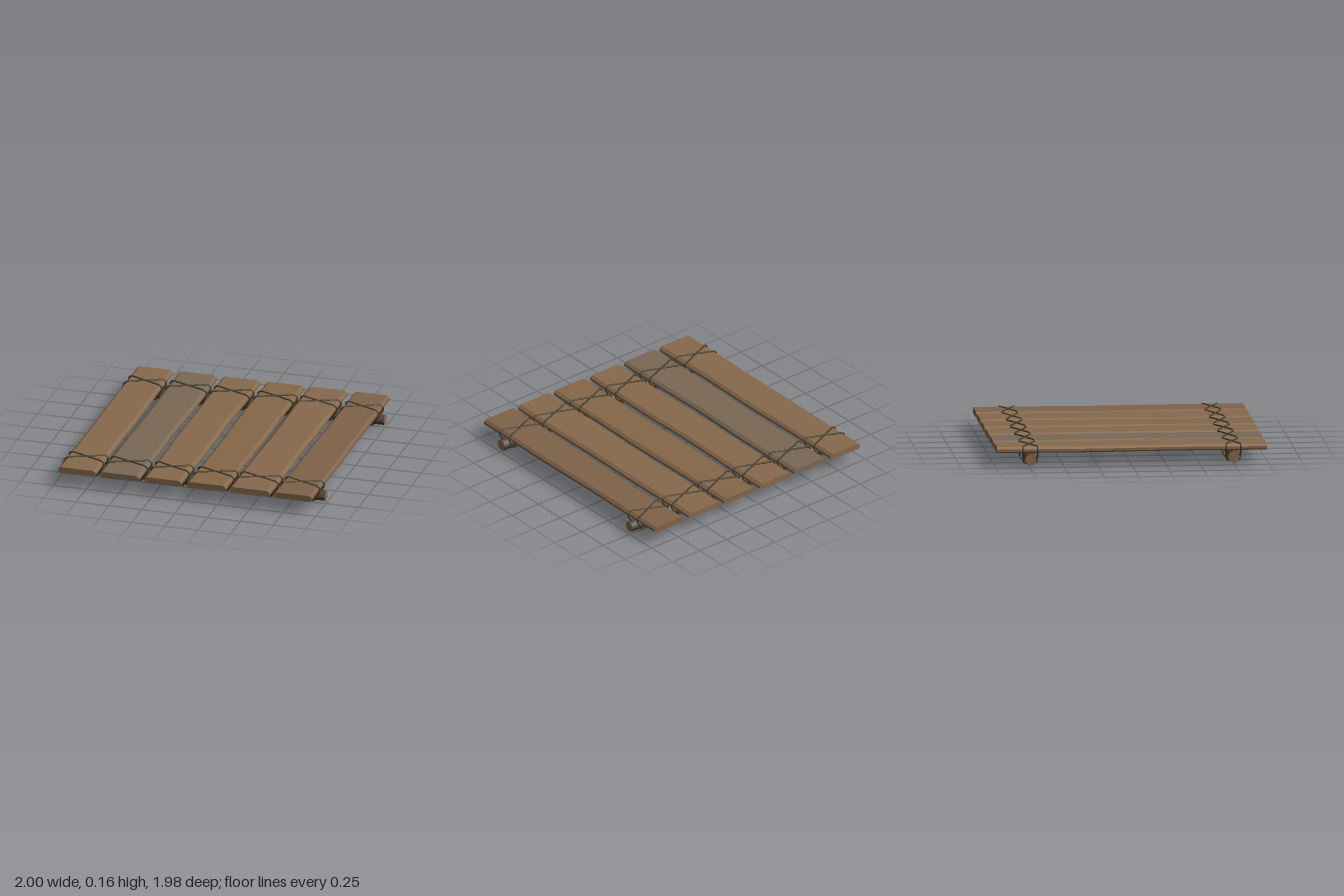
import * as THREE from 'three';
import { toCreasedNormals } from 'three/addons/utils/BufferGeometryUtils.js';

const mat = (color) => new THREE.MeshStandardMaterial({ color });
const barkMat = mat(0x4f4235), cutMat = mat(0x8a6b4e), ropeMat = mat(0x4a412f);

// Left and right edges of each plank: at the back end, then at the front end
const PLANKS = [
  { back: [-0.965, -0.69], front: [-0.965, -0.68], color: 0x87694c },
  { back: [-0.645, -0.35], front: [-0.65, -0.35], color: 0x7b6854 },
  { back: [-0.315, -0.025], front: [-0.31, -0.03], color: 0x87694c },
  { back: [0.02, 0.31], front: [0.015, 0.31], color: 0x846749 },
  { back: [0.345, 0.64], front: [0.34, 0.645], color: 0x87694c },
  { back: [0.69, 0.96], front: [0.675, 0.965], color: 0x80634a },
];
const LOG_Z = 0.743, LOG_Y = 0.062, HALF_LENGTH = 0.988;

// Edges of a plank at a given z, with a slight hewn wobble
function edgesAt(plank, index, z) {
  const t = (z + HALF_LENGTH) / (2 * HALF_LENGTH);
  return [0, 1].map((side) =>
    THREE.MathUtils.lerp(plank.back[side], plank.front[side], t)
    + 0.004 * Math.sin(z * 5 + index * 2.1 + side * 1.7) * Math.sin(Math.PI * t));
}

// Chamfered board, its width following the edges above
function makePlank(plank, index) {
  const section = new THREE.Shape([
    [-0.43, 0.105], [0.43, 0.105], [0.5, 0.116], [0.5, 0.134],
    [0.43, 0.15], [-0.43, 0.15], [-0.5, 0.134], [-0.5, 0.116],
  ].map(([x, y]) => new THREE.Vector2(x, y)));
  const geo = new THREE.ExtrudeGeometry(section, {
    depth: 2 * HALF_LENGTH, steps: 14, bevelEnabled: false,
  });
  geo.translate(0, 0, -HALF_LENGTH);
  const p = geo.attributes.position;
  for (let i = 0; i < p.count; i++) {
    const z = p.getZ(i);
    const [left, right] = edgesAt(plank, index, z);
    p.setX(i, (left + right) / 2 + p.getX(i) * (right - left));
    p.setY(i, p.getY(i) + 0.0015 * Math.sin(z * 4 + index));
  }
  const mesh = new THREE.Mesh(toCreasedNormals(geo, 0.35), mat(plank.color));
  mesh.name = `plank${index + 1}`;
  return mesh;
}

// Round cross log with pale cut ends
function makeLog(z, name) {
  const geo = new THREE.CylinderGeometry(0.043, 0.041, 2, 8, 10);
  const p = geo.attributes.position;
  for (let i = 0; i < p.count; i++) {
    const k = 1 + 0.03 * Math.sin(p.getY(i) * 7 + z);
    p.setX(i, p.getX(i) * k);
    p.setZ(i, p.getZ(i) * k);
  }
  geo.computeVertexNormals();
  geo.rotateZ(Math.PI / 2);
  const log = new THREE.Mesh(geo, [barkMat, cutMat, cutMat]);
  log.position.set(0, LOG_Y, z);
  log.name = name;
  return log;
}

// Rope loop: diagonal over the plank, down its edges and under the log
function makeRope(halfWidth, mirror) {
  const w = halfWidth;
  const half = [
    [w - 0.02, 0.153, 0.052], [w + 0.005, 0.136, 0.054], [w + 0.005, 0.112, 0.054],
    [w - 0.012, 0.088, 0.052], [w - 0.045, 0.034, 0.046], [0.02, 0.01, 0.008],
  ];
  // The second half climbs the opposite edge
  const other = half.map(([x, y, z]) => [-x, y, -z]).reverse();
  const points = [...half, ...other].map(([x, y, z]) => new THREE.Vector3(x, y, z * mirror));
  const path = new THREE.CatmullRomCurve3(points, true, 'catmullrom', 0.08);
  const rope = new THREE.Mesh(new THREE.TubeGeometry(path, 72, 0.0065, 6, true), ropeMat);
  rope.name = 'rope';
  return rope;
}

export function createModel() {
  const model = new THREE.Group();
  model.name = 'plankPlatform';
  PLANKS.forEach((plank, i) => model.add(makePlank(plank, i)));

  for (const [z, end] of [[LOG_Z, 'front'], [-LOG_Z, 'back']]) {
    model.add(makeLog(z, `${end}Log`));
    // Crossed lashing on every plank
    PLANKS.forEach((plank, i) => {
      const [left, right] = edgesAt(plank, i, z);
      const lashing = new THREE.Group();
      lashing.name = `${end}Lashing${i + 1}`;
      lashing.position.set((left + right) / 2, 0, z);
      for (const mirror of [1, -1]) lashing.add(makeRope((right - left) / 2, mirror));
      model.add(lashing);
    });
  }
  return model;
}
